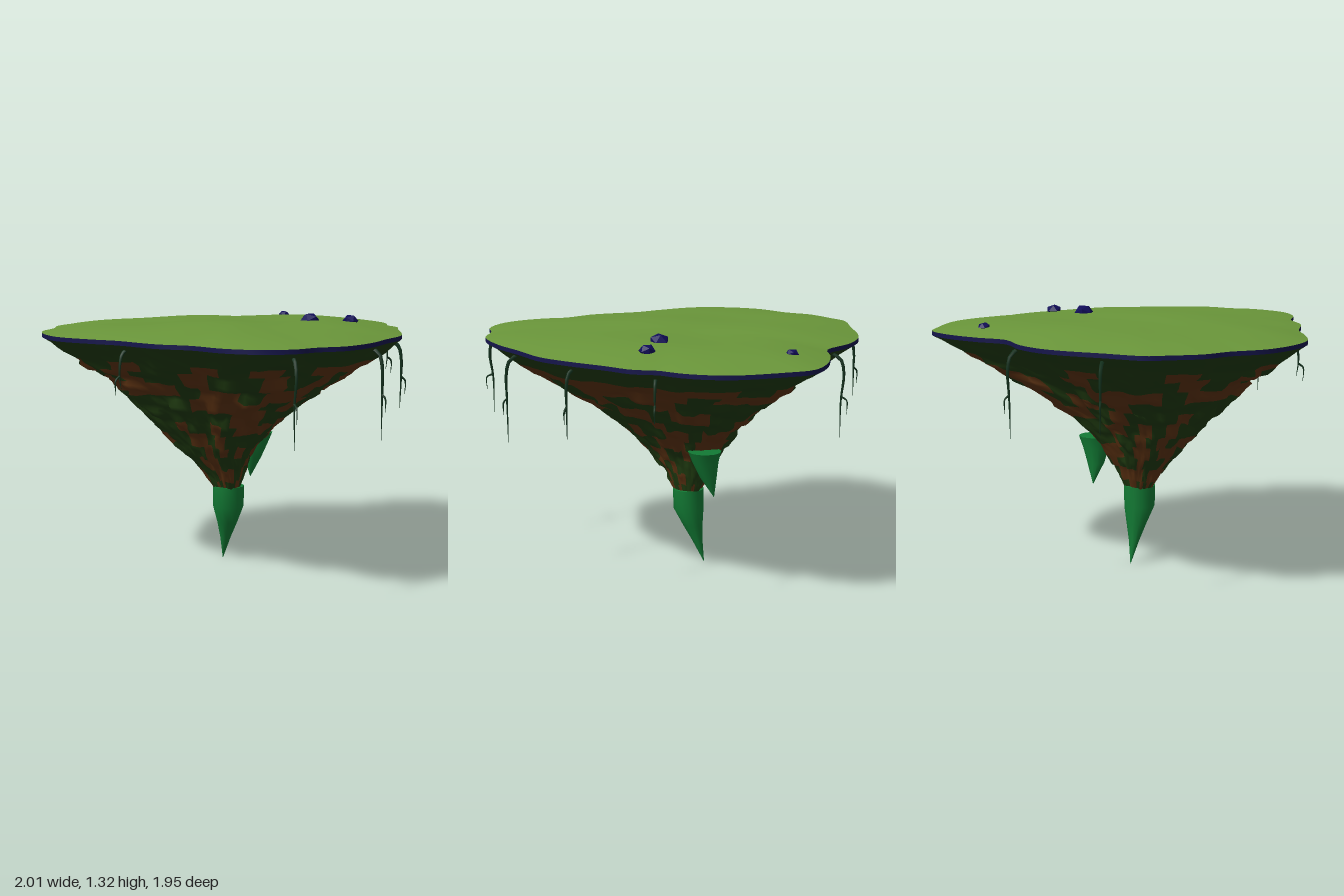
import * as THREE from 'three';

const mat = (color) => new THREE.MeshStandardMaterial({ color });
const hash = (a, b) => {
  const s = Math.sin(a * 127.1 + b * 311.7) * 43758.5453;
  return s - Math.floor(s);
};

// Smooth lookup through [key, ...values] rows sorted by falling key
function sample(rows, key) {
  let k = 0;
  while (k < rows.length - 2 && rows[k + 1][0] > key) k++;
  const [a, b] = [rows[k], rows[k + 1]];
  const t = THREE.MathUtils.clamp((a[0] - key) / (a[0] - b[0]), 0, 1);
  return a.map((v, i) => v + (b[i] - v) * t);
}

// Closed skin over rings of n points; pick(i, j) chooses a material slot per cell
function loft(rings, n, point, materials, pick = () => 0) {
  const pos = [];
  for (let j = 0; j < rings; j++) for (let i = 0; i < n; i++) pos.push(...point(i, j));
  const slots = materials.map(() => []);
  for (let j = 0; j < rings - 1; j++) {
    for (let i = 0; i < n; i++) {
      const a = j * n + i, b = j * n + (i + 1) % n;
      slots[pick(i, j)].push(a, b, a + n, b, b + n, a + n);
    }
  }
  const geo = new THREE.BufferGeometry();
  geo.setAttribute('position', new THREE.Float32BufferAttribute(pos, 3));
  geo.setIndex(slots.flat());
  let start = 0;
  slots.forEach((s, k) => { geo.addGroup(start, s.length, k); start += s.length; });
  geo.computeVertexNormals();
  return new THREE.Mesh(geo, materials.length > 1 ? materials : materials[0]);
}

// Plan outline of the island (x, z), clockwise from the back
const OUTLINE = [
  [-0.15, -0.98], [0, -0.95], [0.1, -0.9], [0.19, -0.83], [0.3, -0.8], [0.42, -0.7],
  [0.58, -0.58], [0.72, -0.45], [0.82, -0.27], [0.93, -0.08], [0.99, 0.13], [0.96, 0.27],
  [0.97, 0.4], [0.9, 0.55], [0.75, 0.65], [0.55, 0.69], [0.4, 0.78], [0.13, 0.84],
  [0, 0.9], [-0.22, 0.97], [-0.42, 0.94], [-0.58, 0.86], [-0.7, 0.73], [-0.83, 0.64],
  [-0.92, 0.5], [-0.97, 0.42], [-0.96, 0.2], [-0.95, 0], [-0.92, -0.13], [-0.84, -0.27],
  [-0.7, -0.41], [-0.68, -0.57], [-0.62, -0.77], [-0.53, -0.9], [-0.4, -0.94],
];

// Height of the gently domed grass, s = 0 at the middle and 1 at the rim
const grassY = (x, z, s) => 1.235 + 0.05 * (1 - s ** 3)
  + 0.007 * (1 - s) * (Math.sin(x * 7 + z * 3) + Math.sin(z * 8 - x * 4));

// Hanging spike: rows of [y, centre x, centre z, radius], flat cap on top
function spike(rows, color) {
  const sides = 12;
  const cap = [...rows[0].slice(0, 3), 0];
  const all = [cap, rows[0], ...rows];
  return loft(all.length, sides, (i, j) => {
    const [y, cx, cz, r] = all[j], t = i / sides * Math.PI * 2;
    return [cx + Math.sin(t) * r, y, cz - Math.cos(t) * r];
  }, [mat(color)]);
}

// Tube that thins toward its end
function vine(points, radius, material) {
  const curve = new THREE.CatmullRomCurve3(points.map((p) => new THREE.Vector3(...p)));
  const segs = 14, sides = 6;
  const geo = new THREE.TubeGeometry(curve, segs, radius, sides);
  const p = geo.attributes.position, v = new THREE.Vector3();
  for (let k = 0; k < p.count; k++) {
    const u = Math.floor(k / (sides + 1)) / segs;
    const c = curve.getPointAt(u);
    v.fromBufferAttribute(p, k).sub(c).multiplyScalar(1 - 0.9 * u).add(c);
    p.setXYZ(k, v.x, v.y, v.z);
  }
  geo.computeVertexNormals();
  return new THREE.Mesh(geo, material);
}

export function createModel() {
  const island = new THREE.Group();
  island.name = 'floatingIsland';
  const add = (mesh, name) => { mesh.name = name; island.add(mesh); return mesh; };

  const n = 120;
  const curve = new THREE.CatmullRomCurve3(
    OUTLINE.map(([x, z]) => new THREE.Vector3(x, 0, z)), true);
  const edge = Array.from({ length: n }, (_, i) => curve.getPointAt(i / n));

  // Grass top
  const grassRings = 20;
  add(loft(grassRings, n, (i, j) => {
    const s = j / (grassRings - 1), x = edge[i].x * s, z = edge[i].z * s;
    return [x, grassY(x, z, s), z];
  }, [mat(0x6a963a)]), 'grassTop');

  // Thin dark lip around the rim
  add(loft(2, n, (i, j) => [edge[i].x, j ? 1.213 : 1.235, edge[i].z], [mat(0x15154a)]), 'rimEdge');

  // Rocky underside: [y, scale of the outline, centre x, centre z]
  const profile = [
    [1.213, 1, 0, 0], [1.1, 0.82, 0, 0.01], [1, 0.655, -0.01, 0.03], [0.9, 0.51, -0.03, 0.06],
    [0.8, 0.39, -0.04, 0.08], [0.7, 0.285, -0.055, 0.09], [0.6, 0.2, -0.065, 0.09],
    [0.5, 0.125, -0.065, 0.06], [0.4, 0.075, -0.062, 0.05],
  ];
  const rockRings = 36;
  add(loft(rockRings, n, (i, j) => {
    const t = j / (rockRings - 1);
    const [y, s, cx, cz] = sample(profile, 1.213 - 0.813 * t);
    const rough = Math.min(1, j / 8) * Math.min(1, (rockRings - 1 - j) / 3);
    // Staggered blocks, three points wide and two rings high
    const row = Math.floor(j / 2);
    const block = Math.floor(((i + row * 2) % n) / 3);
    const k = s * (1 + rough * (0.09 * (hash(block, row) - 0.5) + 0.03 * (hash(i, j) - 0.5)));
    const dy = rough * 0.022 * (hash(block + 7, row) - 0.5);
    return [cx + edge[i].x * k, y + dy, cz + edge[i].z * k];
  }, [mat(0x1f3a10), mat(0x5c3212)], (i, j) => {
    const row = Math.floor(j / 3), block = Math.floor(((i + row * 2) % n) / 4);
    return j > 3 && hash(block + 3, row) > 0.55 ? 1 : 0;
  }), 'rockUnderside');

  // Crystal spikes below
  add(spike([
    [0.41, -0.062, 0.05, 0.083], [0.3, -0.064, 0.05, 0.081], [0.21, -0.085, 0.042, 0.054],
    [0.12, -0.11, 0.037, 0.028], [0, -0.145, 0.03, 0.001],
  ], 0x127a34), 'mainSpike');
  add(spike([
    [0.67, -0.12, -0.175, 0.087], [0.61, -0.125, -0.17, 0.068], [0.53, -0.14, -0.165, 0.045],
    [0.42, -0.17, -0.17, 0.001],
  ], 0x127a34), 'sideSpike');

  // Small boulders on the grass: [x, z, radius]
  [[-0.48, -0.63, 0.034], [0.13, -0.34, 0.052], [0.21, -0.55, 0.042]].forEach(([x, z, r], k) => {
    const m = mat(0x100c58);
    m.flatShading = true;
    const rock = add(new THREE.Mesh(new THREE.IcosahedronGeometry(r, 0), m), 'boulder');
    rock.scale.set(1, 0.8, 1);
    rock.rotation.y = k * 1.7;
    rock.position.set(x, grassY(x, z, Math.hypot(x, z)) - 0.002, z);
  });

  // Roots hanging from the rim: [outer x, outer z, tip y]
  const rootMat = mat(0x12301c);
  [
    [-0.98, 0.2, 0.86], [-0.8, -0.35, 0.76], [0.885, -0.19, 0.75], [0.975, 0.4, 0.77],
    [0.6, -0.565, 0.85], [0.15, 0.835, 1], [0.2, -0.82, 1],
  ].forEach(([x, z, tip], k) => {
    const root = new THREE.Group();
    root.name = 'hangingRoot';
    const drop = 1.1 - tip, sx = 1 - 0.015 * (k % 2);
    root.add(vine([
      [x * 0.92, 1.2, z * 0.92], [x * 0.98, 1.17, z * 0.98], [x, 1.1, z],
      [x * sx, 1.1 - drop * 0.4, z], [x * sx, tip, z * 0.99],
    ], 0.011, rootMat));
    // Side shoot
    const y = 1.1 - drop * 0.35;
    root.add(vine([
      [x * sx, y, z], [x * 1.02, y - 0.02, z * 1.03], [x * 1.02, y - 0.09, z * 1.03],
    ], 0.006, rootMat));
    island.add(root);
  });

  return island;
}
